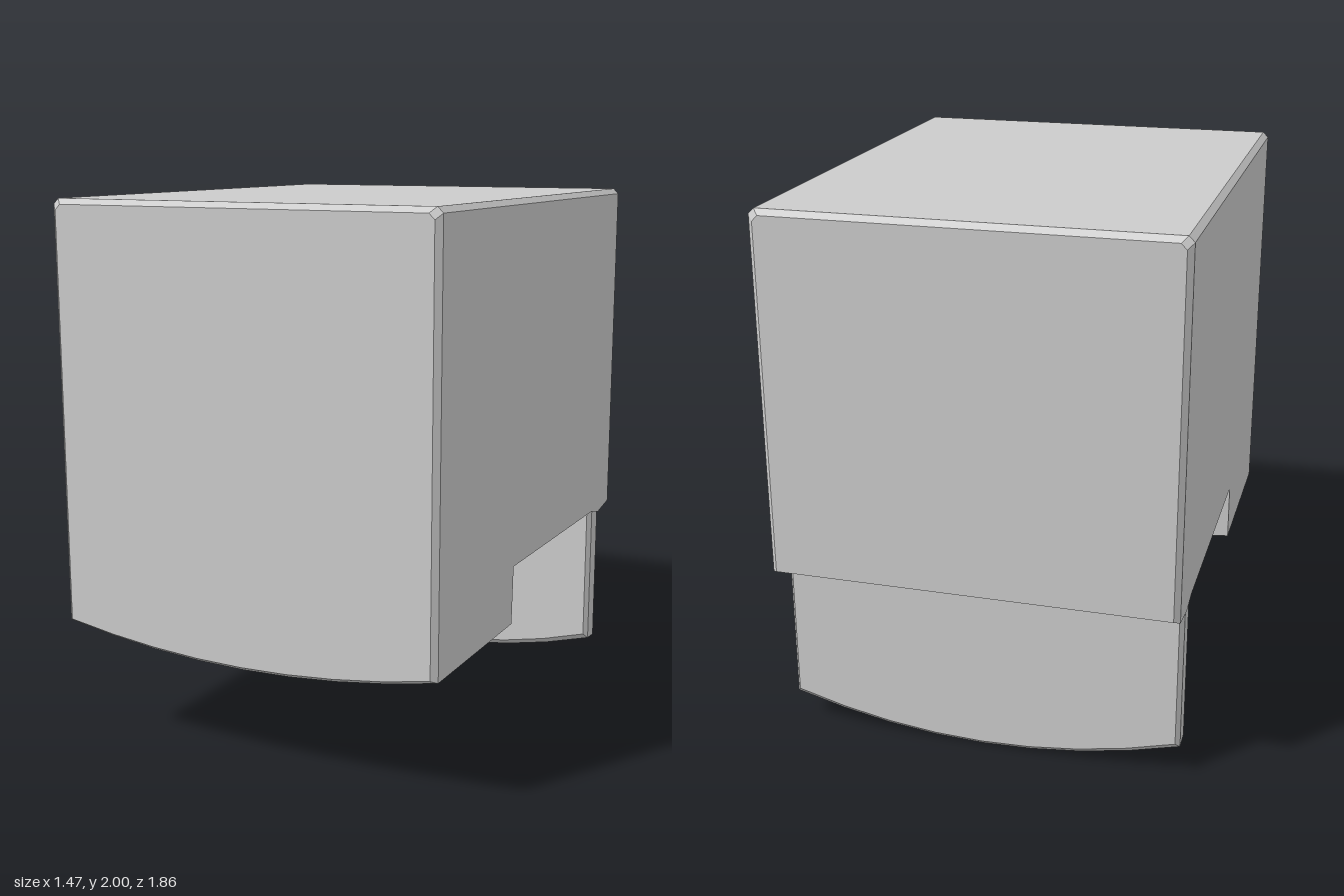
import * as THREE from 'three';

const material = new THREE.MeshStandardMaterial({ color: 0xcccccc, flatShading: true });
const STEPS = 8;

// Cross-section at depth z: bevelled top corners and a bowed underside.
// w = half width, top = upper edge, edge = lower corner height, sag = drop in the middle,
// p = shape of the bow, bevel = size of the top corner cut
function section({ z, w, top, edge, sag = 0, p = 2, bevel = 0.02 }) {
  const ring = [];
  for (let i = 0; i <= STEPS; i++) {
    const t = (i / STEPS) * 2 - 1;
    ring.push([t * w, edge - sag * (1 - Math.abs(t) ** p), z]);
  }
  ring.push([w, top - bevel, z], [w - bevel, top, z], [bevel - w, top, z], [-w, top - bevel, z]);
  return ring;
}

// Skin a row of cross-sections running from front to back and close both ends.
function loft(name, sections) {
  const rings = sections.map(section);
  const n = rings[0].length;
  const pos = [];
  const tri = (a, b, c) => pos.push(...a, ...b, ...c);
  for (let k = 0; k < rings.length - 1; k++) {
    for (let i = 0; i < n; i++) {
      const j = (i + 1) % n;
      const [a, b, c, d] = [rings[k][i], rings[k][j], rings[k + 1][i], rings[k + 1][j]];
      tri(a, c, b);
      tri(b, c, d);
    }
  }
  for (const [k, front] of [[0, true], [rings.length - 1, false]]) {
    const s = sections[k];
    const mid = [0, (s.top + s.edge) / 2, s.z];
    for (let i = 0; i < n; i++) {
      const a = rings[k][i], b = rings[k][(i + 1) % n];
      front ? tri(mid, a, b) : tri(mid, b, a);
    }
  }
  const geometry = new THREE.BufferGeometry();
  geometry.setAttribute('position', new THREE.Float32BufferAttribute(pos, 3));
  geometry.computeVertexNormals();
  const mesh = new THREE.Mesh(geometry, material);
  mesh.name = name;
  return mesh;
}

export function createModel() {
  const group = new THREE.Group();
  group.name = 'steppedBlock';

  // Main block: deep bowed front section, then a step up to the flat underside
  const body = { w: 0.735, top: 2 };
  group.add(loft('body', [
    { ...body, z: 0.93, w: 0.715, top: 1.98, edge: 0.48, sag: 0.07 },
    { ...body, z: 0.91, edge: 0.47, sag: 0.075 },
    { ...body, z: 0.78, edge: 0.47, sag: 0.1, p: 3.5 },
    { ...body, z: 0.58, edge: 0.47, sag: 0.1, p: 3.5 },
    { ...body, z: 0.27, edge: 0.47, sag: 0.07 },
    { ...body, z: 0.24, edge: 0.47, sag: 0.035 },
    { ...body, z: 0.23, edge: 0.685 },
    { ...body, z: -0.69, edge: 0.68 },
    { ...body, z: -0.78, edge: 0.66 },
    { ...body, z: -0.91, edge: 0.68 },
    { ...body, z: -0.93, w: 0.715, top: 1.98, edge: 0.69 },
  ]));

  // Thin rear plate with a rounded lower edge
  const plate = { w: 0.73, top: 0.72, sag: 0.11, bevel: 0.01 };
  group.add(loft('rearPlate', [
    { ...plate, z: -0.69, w: 0.715, edge: 0.14 },
    { ...plate, z: -0.71, edge: 0.12 },
    { ...plate, z: -0.78, edge: 0.115 },
    { ...plate, z: -0.8, w: 0.715, edge: 0.135 },
  ]));

  // Small faceted peg under the body, behind the step
  const peg = { top: 0.69, edge: 0.57, sag: 0.05, p: 4, bevel: 0.02 };
  group.add(loft('peg', [
    { ...peg, z: 0.25, w: 0.16 },
    { ...peg, z: -0.03, w: 0.16 },
    { ...peg, z: -0.1, w: 0.11, top: 0.675, edge: 0.58, sag: 0.015 },
    { ...peg, z: -0.12, w: 0.08, top: 0.65, edge: 0.6, sag: 0 },
  ]));

  return group;
}
